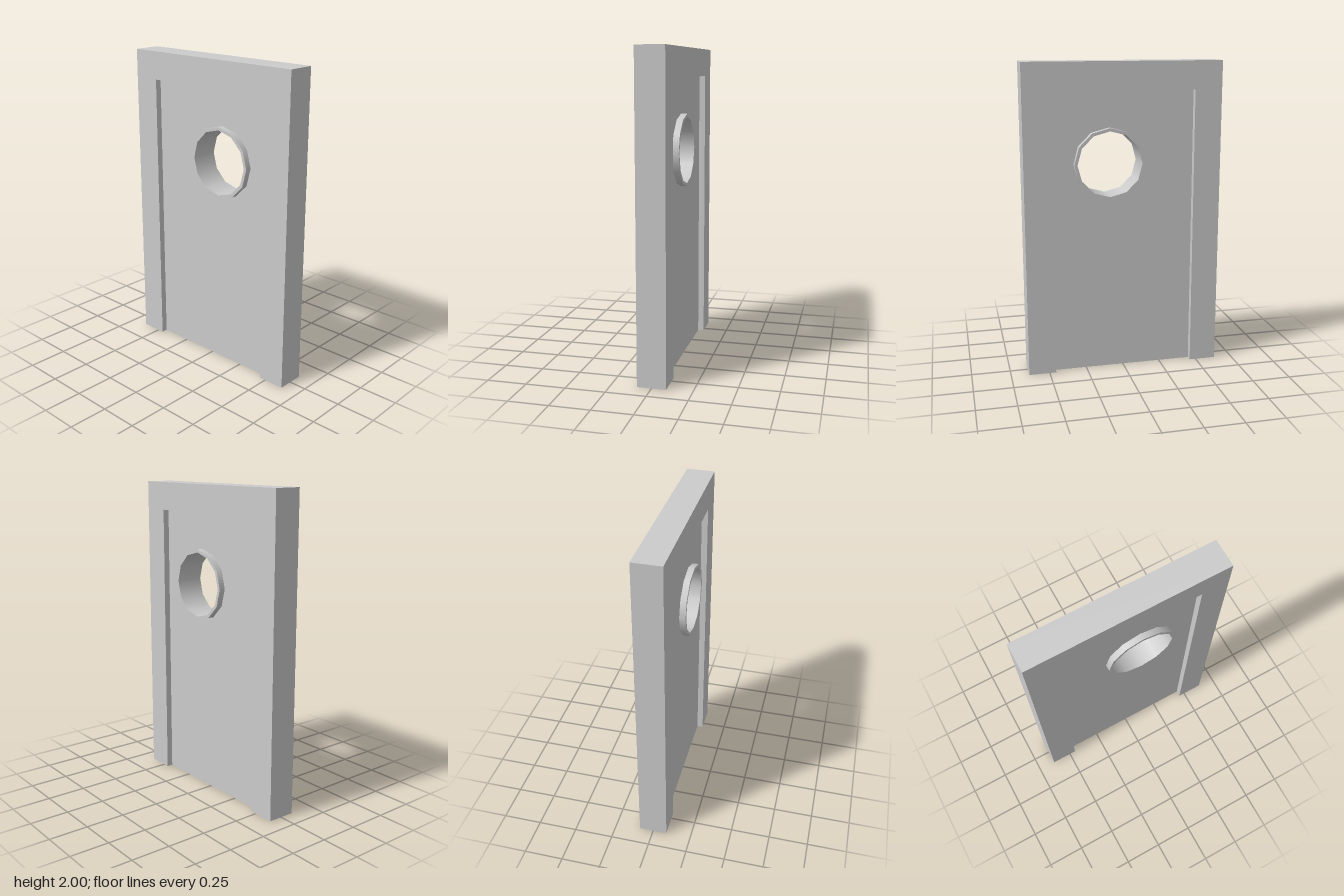
import * as THREE from 'three';

const W = 0.634, H = 2, D = 0.09;        // frame half width, height, half depth
const IN = 0.458, TOP = 1.82, PD = 0.05; // opening half width, its top, panel half depth
const PX = 0.09, PY = 1.365;             // porthole centre
const R_OUT = 0.228, R_IN = 0.208, SIDES = 12;

const solid = new THREE.MeshStandardMaterial({ color: 0xcccccc });
const shell = new THREE.MeshStandardMaterial({ color: 0xcccccc, side: THREE.DoubleSide });

function add(parent, name, geometry, material = solid) {
  const mesh = new THREE.Mesh(geometry, material);
  mesh.name = name;
  parent.add(mesh);
  return mesh;
}

// Flat walls of the given half depth along an open path
function wallStrip(path, d) {
  const pos = [];
  for (let i = 0; i < path.length - 1; i++) {
    const [ax, ay] = path[i], [bx, by] = path[i + 1];
    pos.push(ax, ay, d, ax, ay, -d, bx, by, -d);
    pos.push(ax, ay, d, bx, by, -d, bx, by, d);
  }
  const g = new THREE.BufferGeometry();
  g.setAttribute('position', new THREE.Float32BufferAttribute(pos, 3));
  g.computeVertexNormals();
  return g;
}

// Hollow frame: faces and walls, with the feet of the posts left open
function makeFrame() {
  const frame = new THREE.Group();
  frame.name = 'doorFrame';
  const outer = [[W, 0], [W, H], [-W, H], [-W, 0]];
  const inner = [[-IN, 0], [-IN, TOP], [IN, TOP], [IN, 0]];
  const outline = new THREE.Shape([...outer, ...inner].map(p => new THREE.Vector2(...p)));
  const face = new THREE.ShapeGeometry(outline);
  add(frame, 'frameFront', face, shell).position.z = D;
  const back = add(frame, 'frameBack', face, shell);
  back.position.z = -D;
  back.rotation.y = Math.PI;
  add(frame, 'frameOuterWalls', wallStrip(outer, D), shell);
  add(frame, 'frameInnerWalls', wallStrip(inner, D), shell);
  return frame;
}

// Recessed door leaf with a twelve-sided hole
function makePanelGeometry() {
  const shape = new THREE.Shape([[-IN, 0], [IN, 0], [IN, TOP], [-IN, TOP]]
    .map(p => new THREE.Vector2(...p)));
  const hole = [];
  for (let i = 0; i < SIDES; i++) {
    const a = -i * 2 * Math.PI / SIDES;
    hole.push(new THREE.Vector2(PX + R_OUT * Math.cos(a), PY + R_OUT * Math.sin(a)));
  }
  shape.holes.push(new THREE.Path(hole));
  return new THREE.ExtrudeGeometry(shape, { depth: 2 * PD, bevelEnabled: false })
    .translate(0, 0, -PD);
}

// Porthole ring, reaching out flush with both frame faces
function makePorthole() {
  const porthole = new THREE.Group();
  porthole.name = 'porthole';
  const tube = r => new THREE.CylinderGeometry(r, r, 2 * D, SIDES, 1, true).rotateX(Math.PI / 2);
  add(porthole, 'portholeOuterWall', tube(R_OUT));
  add(porthole, 'portholeInnerWall', tube(R_IN), shell);
  const rim = new THREE.RingGeometry(R_IN, R_OUT, SIDES);
  add(porthole, 'portholeFrontRim', rim).position.z = D;
  const back = add(porthole, 'portholeBackRim', rim);
  back.position.z = -D;
  back.rotation.y = Math.PI;
  porthole.position.set(PX, PY, 0);
  return porthole;
}

export function createModel() {
  const model = new THREE.Group();
  model.name = 'portholeDoor';
  model.add(makeFrame());
  add(model, 'doorPanel', makePanelGeometry());
  model.add(makePorthole());
  return model;
}
